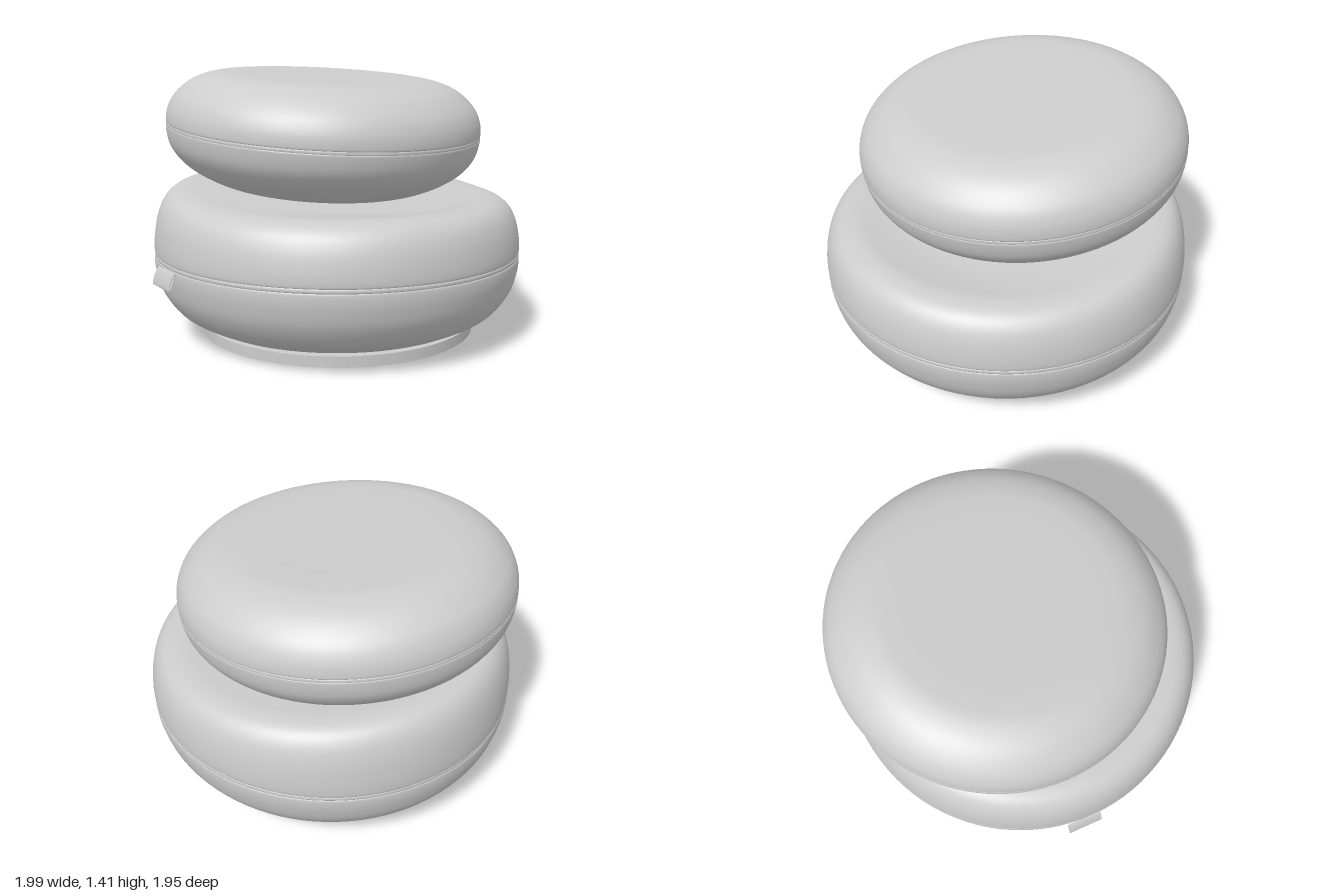
import * as THREE from 'three';
import { mergeVertices } from 'three/addons/utils/BufferGeometryUtils.js';

const SEGMENTS = 96;
const V = (p) => new THREE.Vector2(p[0], p[1]);

// Smooth lathe through a few profile points, listed from bottom to top
function turned(points, samples = 40) {
  const curve = new THREE.SplineCurve(points.map(V));
  const profile = curve.getPoints(samples);
  profile.forEach((p) => { p.x = Math.max(p.x, 0); });
  return new THREE.LatheGeometry(profile, SEGMENTS);
}

// Flat arc of a ring in the ground plane, with square or rounded ends
function ringArc(inner, outer, from, to, y, height, rounded) {
  const shape = new THREE.Shape();
  const mid = (inner + outer) / 2, w = (outer - inner) / 2;
  shape.absarc(0, 0, outer, from, to, false);
  if (rounded) shape.absarc(mid * Math.cos(to), mid * Math.sin(to), w, to, to + Math.PI, false);
  shape.absarc(0, 0, inner, to, from, true);
  if (rounded) shape.absarc(mid * Math.cos(from), mid * Math.sin(from), w, from + Math.PI, from + 2 * Math.PI, false);
  const g = new THREE.ExtrudeGeometry(shape, { depth: height, bevelEnabled: false, curveSegments: 72 });
  return g.rotateX(-Math.PI / 2).translate(0, y, 0);
}

// Sloping seat in the middle, with a raised front rim around it
function topHeight(r, z) {
  const plane = 0.75 - 0.085 * z;
  const d = plane - 0.73;
  const rim = 0.73 + (d + Math.sqrt(d * d + 0.0002)) / 2;
  return THREE.MathUtils.lerp(plane, rim, THREE.MathUtils.smoothstep(r, 0.5, 0.82));
}

function bodyTop() {
  // The profile height is a fraction between the seam and the top surface
  let g = turned([[0.96, 0], [0.976, 0.012], [0.974, 0.25], [0.957, 0.55], [0.925, 0.79],
    [0.875, 0.94], [0.8, 1], [0.7, 1], [0.55, 1], [0.4, 1], [0.2, 1], [0, 1]], 72);
  g.deleteAttribute('uv');
  g.deleteAttribute('normal');
  const p = g.attributes.position;
  for (let i = 0; i < p.count; i++) {
    const x = p.getX(i), z = p.getZ(i);
    p.setY(i, 0.455 + (topHeight(Math.hypot(x, z), z) - 0.455) * p.getY(i));
  }
  g = mergeVertices(g, 1e-5);
  g.computeVertexNormals();
  return g;
}

export function createModel() {
  const grey = new THREE.MeshStandardMaterial({ color: 0xcccccc, side: THREE.DoubleSide });
  grey.name = 'light grey';
  const model = new THREE.Group();
  model.name = 'stackedCushions';
  const add = (parent, name, geometry) => {
    const mesh = new THREE.Mesh(geometry, grey);
    mesh.name = name;
    parent.add(mesh);
    return mesh;
  };
  const group = (name, x, y, z) => {
    const g = new THREE.Group();
    g.name = name;
    g.position.set(x, y, z);
    model.add(g);
    return g;
  };

  // Large lower body
  const body = group('body', 0.015, 0, 0);
  add(body, 'bodyUnderside', new THREE.CircleGeometry(0.742, SEGMENTS).rotateX(Math.PI / 2).translate(0, 0.084, 0));
  add(body, 'bodyLowerShell', turned([[0.74, 0.084], [0.86, 0.15], [0.937, 0.25], [0.97, 0.35], [0.976, 0.426], [0.96, 0.43]]));
  add(body, 'bodySeam', turned([[0.955, 0.428], [0.973, 0.433], [0.973, 0.452], [0.955, 0.457]], 12));
  add(body, 'bodyUpperShell', bodyTop());

  // Tilted upper cushion
  const cushion = group('cushion', 0.015, 1.087, -0.125);
  cushion.rotation.x = 0.091;
  add(cushion, 'cushionLowerShell', turned([[0, -0.32], [0.2, -0.32], [0.38, -0.32], [0.47, -0.317], [0.603, -0.286],
    [0.744, -0.209], [0.825, -0.115], [0.85, -0.015], [0.834, -0.011]], 60));
  add(cushion, 'cushionSeam', turned([[0.83, -0.013], [0.847, -0.009], [0.847, 0.009], [0.83, 0.013]], 12));
  add(cushion, 'cushionUpperShell', turned([[0.834, 0.011], [0.85, 0.015], [0.84, 0.085], [0.8, 0.158], [0.715, 0.229],
    [0.61, 0.267], [0.5, 0.276], [0.35, 0.276], [0.15, 0.276], [0, 0.276]], 60));

  // Base plate with a recessed middle and a cable notch at the back
  const base = group('base', 0.015, 0, 0);
  const back = Math.PI / 2, notch = 0.055;
  add(base, 'basePlate', new THREE.CylinderGeometry(0.74, 0.74, 0.014, SEGMENTS).translate(0, 0.061, 0));
  add(base, 'baseRing', ringArc(0.63, 0.74, back + notch, back + 2 * Math.PI - notch, 0.012, 0.043, false));
  add(base, 'cableRib', new THREE.BoxGeometry(0.02, 0.015, 0.16).translate(0, 0.047, -0.57));

  // Four curved feet
  for (let i = 0; i < 4; i++) {
    const a = Math.PI / 4 + i * Math.PI / 2;
    add(base, 'foot', ringArc(0.645, 0.685, a - 0.48, a + 0.48, 0, 0.013, true));
  }

  // Small folded tab on the seam
  const loop = new THREE.Shape();
  loop.absellipse(0, 0, 0.009, 0.046, 0, Math.PI * 2, false, 0);
  const hole = new THREE.Path();
  hole.absellipse(0, 0, 0.005, 0.041, 0, Math.PI * 2, true, 0);
  loop.holes.push(hole);
  const tab = add(model, 'pullTab', new THREE.ExtrudeGeometry(loop, { depth: 0.19, bevelEnabled: false, curveSegments: 24 }));
  tab.position.set(-0.979, 0.385, -0.15);
  tab.rotation.z = -0.36;

  return model;
}
